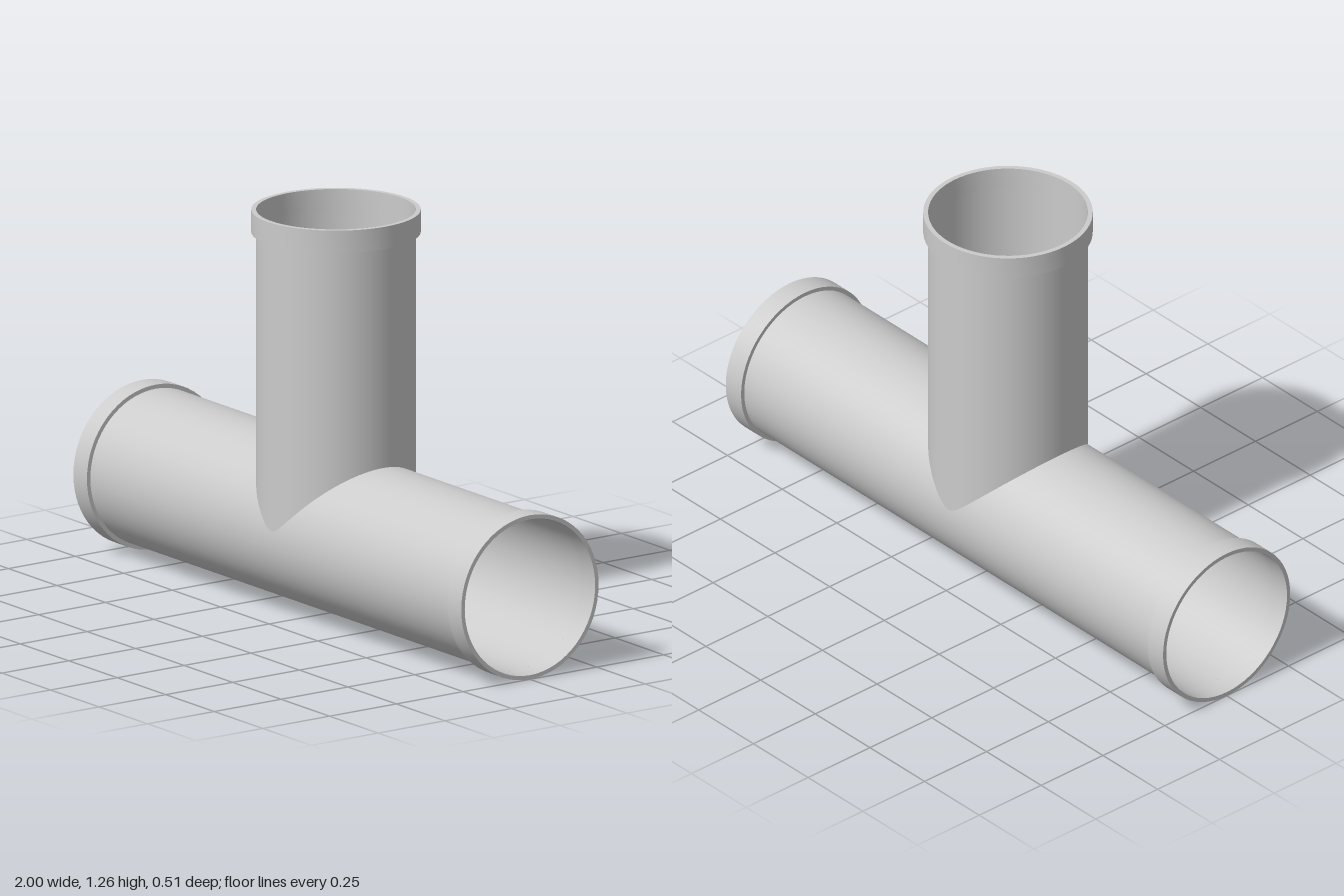
import * as THREE from 'three';
import { toCreasedNormals } from 'three/addons/utils/BufferGeometryUtils.js';

const R = 0.244;      // run radius
const RB = 0.242;     // branch radius
const RIM = 0.257;    // collar radius
const AXIS = 0.257;   // height of the run's axis
const RIM_LEN = 0.07;
const TOP = 1.26;

// Surface patch from a rule giving position and normal at (u, v)
function patch(nu, nv, rule) {
  const pos = [], nor = [], idx = [];
  for (let i = 0; i <= nu; i++) {
    for (let j = 0; j <= nv; j++) {
      const { p, n } = rule(i / nu, j / nv);
      pos.push(...p);
      nor.push(...n);
      if (i < nu && j < nv) {
        const a = i * (nv + 1) + j, b = a + nv + 1;
        idx.push(a, b, a + 1, b, b + 1, a + 1);
      }
    }
  }
  const g = new THREE.BufferGeometry();
  g.setAttribute('position', new THREE.Float32BufferAttribute(pos, 3));
  g.setAttribute('normal', new THREE.Float32BufferAttribute(nor, 3));
  g.setIndex(idx);
  return g;
}

// Half of the run, its inner end cut to the saddle where the branch enters
function runHalf(side) {
  const edge = Math.asin(RB / R);
  const end = 1 - RIM_LEN;
  return patch(96, 4, (u, v) => {
    let theta, cut = 0;
    if (u <= 0.5) {
      const phi = (u * 2 - 0.5) * Math.PI;
      theta = Math.asin(RB * Math.sin(phi) / R);
      cut = RB * Math.cos(phi);
    } else {
      theta = edge + (u - 0.5) * 2 * (2 * Math.PI - 2 * edge);
    }
    const x = side > 0 ? cut + (end - cut) * v : -end + (end - cut) * v;
    const c = Math.cos(theta), s = Math.sin(theta);
    return { p: [x, AXIS + R * c, R * s], n: [0, c, s] };
  });
}

// Branch wall, running down to the same saddle curve
function branchWall() {
  const top = TOP - RIM_LEN;
  return patch(96, 4, (u, v) => {
    const phi = (u * 2 - 0.5) * Math.PI;
    const c = Math.cos(phi), s = Math.sin(phi);
    const bottom = AXIS + Math.sqrt(R * R - RB * RB * s * s);
    return { p: [RB * c, top + (bottom - top) * v, RB * s], n: [c, 0, s] };
  });
}

// Square-edged collar, standing on y = 0
function collar(inner) {
  const profile = [[inner, 0], [RIM, 0], [RIM, RIM_LEN], [inner, RIM_LEN], [inner, 0]]
    .map(([x, y]) => new THREE.Vector2(x, y));
  return toCreasedNormals(new THREE.LatheGeometry(profile, 64), Math.PI / 5);
}

export function createModel() {
  const group = new THREE.Group();
  const material = new THREE.MeshStandardMaterial({ color: 0xcccccc, side: THREE.DoubleSide });
  const add = (name, geometry) => {
    const mesh = new THREE.Mesh(geometry, material);
    mesh.name = name;
    group.add(mesh);
    return mesh;
  };

  // Open pipes
  add('leftRun', runHalf(1));
  add('rightRun', runHalf(-1));
  add('branch', branchWall());

  // Collars at the three mouths
  for (const [name, side] of [['leftCollar', 1], ['rightCollar', -1]]) {
    const rim = add(name, collar(R));
    rim.position.set(side * (1 - RIM_LEN), AXIS, 0);
    rim.rotation.z = -side * Math.PI / 2;
  }
  add('topCollar', collar(RB)).position.y = TOP - RIM_LEN;

  return group;
}
